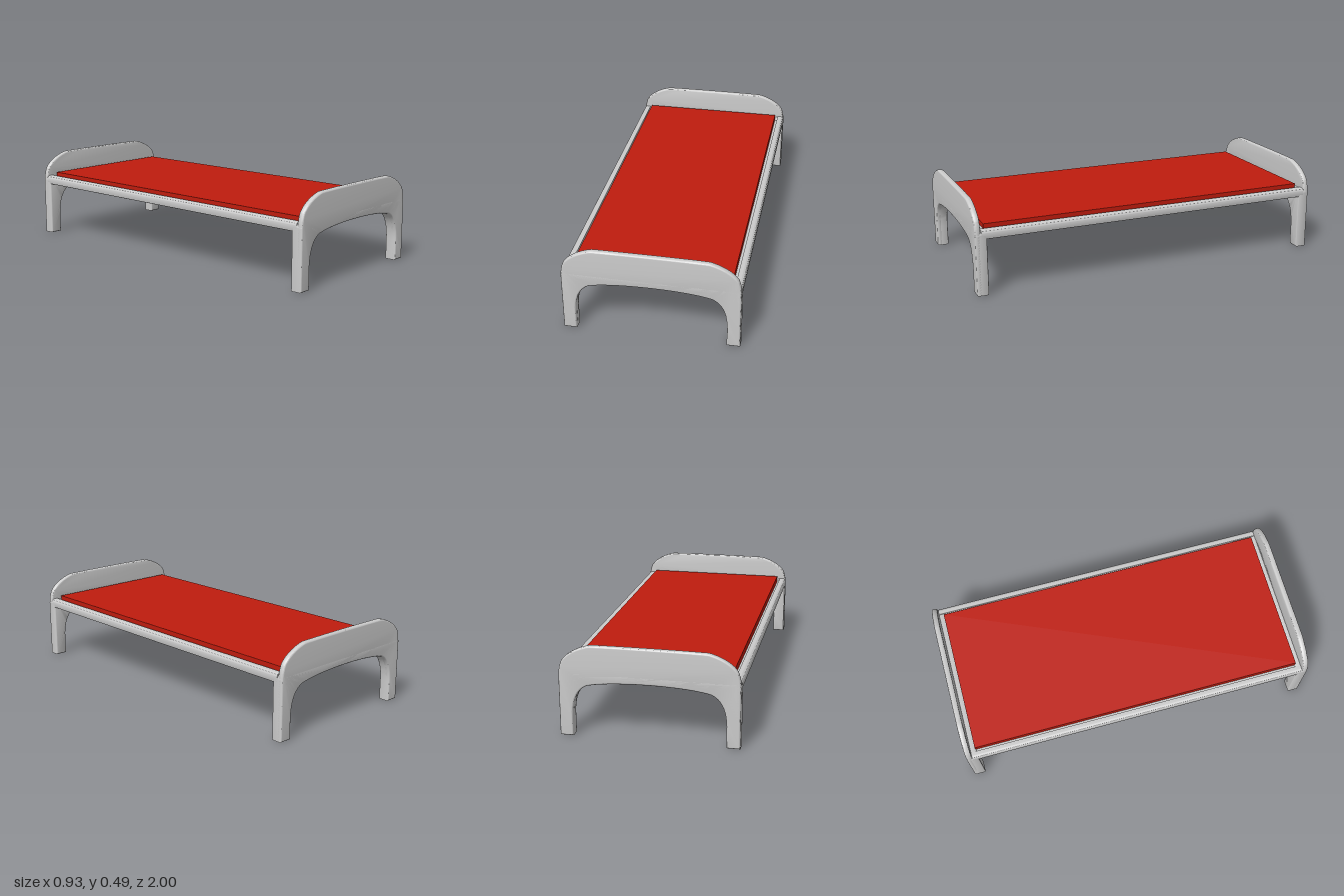
import * as THREE from 'three';
import { toCreasedNormals } from 'three/addons/utils/BufferGeometryUtils.js';

const grey = new THREE.MeshStandardMaterial({ color: 0xcccccc });
const red = new THREE.MeshStandardMaterial({ color: 0xc01c0e });

// Extrude a shape from z0 to z1, with rounded edges kept inside the outline
function slab(name, shape, z0, z1, bevel, material = grey) {
  const geometry = new THREE.ExtrudeGeometry(shape, {
    depth: z1 - z0 - 2 * bevel, curveSegments: 14, bevelEnabled: bevel > 0,
    bevelThickness: bevel, bevelSize: bevel, bevelOffset: -bevel, bevelSegments: 4,
  });
  geometry.translate(0, 0, z0 + bevel);
  const mesh = new THREE.Mesh(toCreasedNormals(geometry, 0.6), material);
  mesh.name = name;
  return mesh;
}

// Underside of the arch, from the left foot over to the right foot
function archUnderside(s) {
  s.lineTo(0.395, 0);
  s.lineTo(0.395, 0.115);
  s.bezierCurveTo(0.393, 0.21, 0.36, 0.26, 0.315, 0.277);
  s.bezierCurveTo(0.23, 0.297, 0.1, 0.302, 0, 0.302);
  s.bezierCurveTo(-0.1, 0.302, -0.23, 0.297, -0.315, 0.277);
  s.bezierCurveTo(-0.36, 0.26, -0.393, 0.21, -0.395, 0.115);
  s.lineTo(-0.395, 0);
  s.lineTo(-0.465, 0);
}

// Full end board outline
function boardShape() {
  const s = new THREE.Shape();
  s.moveTo(-0.465, 0.325);
  s.bezierCurveTo(-0.463, 0.36, -0.456, 0.385, -0.448, 0.403);
  s.bezierCurveTo(-0.425, 0.44, -0.365, 0.475, -0.3, 0.489);
  s.bezierCurveTo(-0.2, 0.492, 0.2, 0.492, 0.3, 0.489);
  s.bezierCurveTo(0.365, 0.475, 0.425, 0.44, 0.448, 0.403);
  s.bezierCurveTo(0.456, 0.385, 0.463, 0.36, 0.465, 0.325);
  s.lineTo(0.465, 0);
  archUnderside(s);
  return s;
}

// Thicker leg arch below the bed surface
function legShape() {
  const s = new THREE.Shape();
  s.moveTo(-0.465, 0.325);
  s.quadraticCurveTo(-0.465, 0.348, -0.445, 0.348);
  s.lineTo(0.445, 0.348);
  s.quadraticCurveTo(0.465, 0.348, 0.465, 0.325);
  s.lineTo(0.465, 0);
  archUnderside(s);
  return s;
}

// Cross-section of the deck with a raised rounded rail on each side
function deckShape() {
  const s = new THREE.Shape();
  s.moveTo(-0.455, 0.305);
  s.lineTo(0.455, 0.305);
  s.quadraticCurveTo(0.465, 0.305, 0.465, 0.316);
  s.lineTo(0.465, 0.336);
  s.quadraticCurveTo(0.463, 0.355, 0.446, 0.355);
  s.lineTo(0.428, 0.355);
  s.lineTo(0.428, 0.338);
  s.lineTo(-0.428, 0.338);
  s.lineTo(-0.428, 0.355);
  s.lineTo(-0.446, 0.355);
  s.quadraticCurveTo(-0.463, 0.355, -0.465, 0.336);
  s.lineTo(-0.465, 0.316);
  s.quadraticCurveTo(-0.465, 0.305, -0.455, 0.305);
  return s;
}

export function createModel() {
  const model = new THREE.Group();
  model.name = 'cot';

  // Matching end boards, front and back
  for (const [name, turn] of [['frontEnd', 0], ['backEnd', Math.PI]]) {
    const end = new THREE.Group();
    end.name = name;
    end.add(slab('endBoard', boardShape(), 0.968, 1, 0.009));
    end.add(slab('legArch', legShape(), 0.935, 1, 0.009));
    end.rotation.y = turn;
    model.add(end);
  }

  // Deck with side rails
  model.add(slab('deckWithRails', deckShape(), -0.965, 0.965, 0));

  // Sleeping mat
  const mat = new THREE.Mesh(new THREE.BoxGeometry(0.826, 0.038, 1.88), red);
  mat.name = 'mat';
  mat.position.y = 0.355;
  model.add(mat);

  return model;
}
